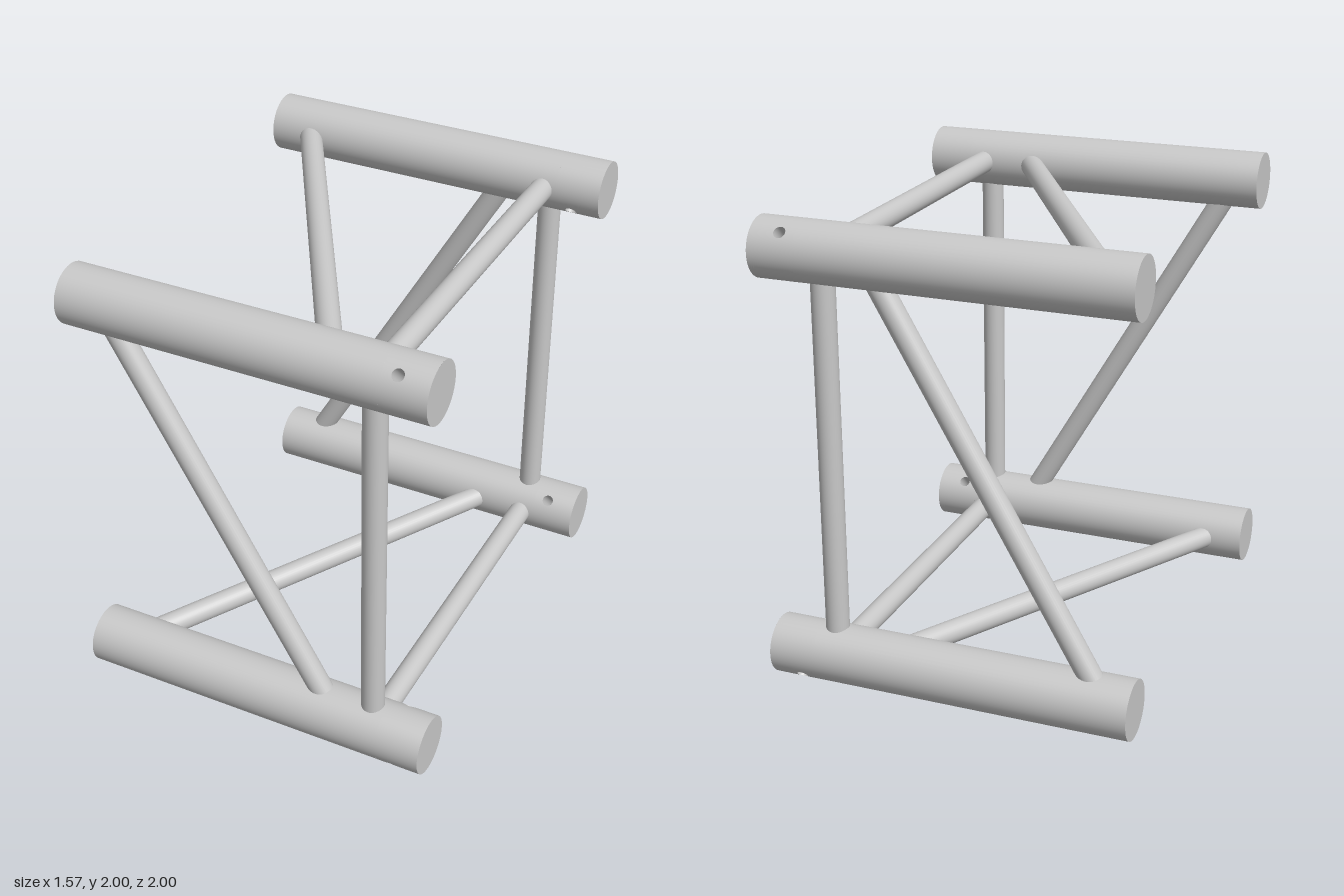
import * as THREE from 'three';
import { mergeGeometries } from 'three/addons/utils/BufferGeometryUtils.js';
import { ParametricGeometry } from 'three/addons/geometries/ParametricGeometry.js';

const R = 0.126;            // chord radius
const C = 1 - R;            // chord centre distance from the truss axis
const X0 = -0.785, X1 = 0.785;
const SEAM = 0.59;          // start of the drilled end section
const HOLE_X = 0.655, HOLE_R = 0.025;

// Solid tube along x with a pin hole drilled through it along local y
function chordGeometry() {
  const clamp = (n) => THREE.MathUtils.clamp(n * Math.SQRT2, -1, 1);

  // Half of the end section: blends from the round hole to the section's border
  const half = new ParametricGeometry((u, v, p) => {
    const t = u * 2 * Math.PI - Math.PI / 4;
    const c = Math.cos(t), s = Math.sin(t);
    const borderX = (SEAM + X1) / 2 + clamp(c) * (X1 - SEAM) / 2;
    const x = THREE.MathUtils.lerp(HOLE_X + HOLE_R * c, borderX, v);
    const a = THREE.MathUtils.lerp(Math.asin(HOLE_R * s / R), clamp(s) * Math.PI / 2, v);
    p.set(x, R * Math.cos(a), R * Math.sin(a));
  }, 96, 12);

  // Inner wall of the hole
  const bore = new ParametricGeometry((u, v, p) => {
    const t = u * 2 * Math.PI;
    const z = HOLE_R * Math.sin(t);
    p.set(HOLE_X + HOLE_R * Math.cos(t), (2 * v - 1) * Math.sqrt(R * R - z * z), z);
  }, 32, 1);

  const body = new THREE.CylinderGeometry(R, R, SEAM - X0, 48, 1, true)
    .rotateZ(Math.PI / 2).translate((X0 + SEAM) / 2, 0, 0);
  const cap = (x) => new THREE.CircleGeometry(R, 48)
    .rotateY(Math.sign(x) * Math.PI / 2).translate(x, 0, 0);

  return mergeGeometries([body, half, half.clone().rotateX(Math.PI), bore, cap(X0), cap(X1)]);
}

// Round bar between two points
function bar(name, from, to, material) {
  const dir = to.clone().sub(from);
  const mesh = new THREE.Mesh(new THREE.CylinderGeometry(0.05, 0.05, dir.length(), 32), material);
  mesh.name = name;
  mesh.position.copy(from).add(to).multiplyScalar(0.5);
  mesh.quaternion.setFromUnitVectors(new THREE.Vector3(0, 1, 0), dir.normalize());
  return mesh;
}

export function createModel() {
  const model = new THREE.Group();
  model.name = 'squareTruss';
  const metal = new THREE.MeshStandardMaterial({ color: 0xc8c8c8, side: THREE.DoubleSide });
  metal.name = 'light grey metal';

  // Four chords, each pin hole pointing diagonally outward
  const geometry = chordGeometry();
  for (const sy of [-1, 1]) {
    for (const sz of [-1, 1]) {
      const chord = new THREE.Mesh(geometry, metal);
      chord.name = (sy > 0 ? 'top' : 'bottom') + (sz > 0 ? 'Front' : 'Back') + 'Chord';
      chord.position.set(0, 1 + sy * C, sz * C);
      chord.rotation.x = Math.atan2(sz, sy);
      model.add(chord);
    }
  }

  // One straight strut and one diagonal brace on every side
  const MID = -0.157, SPAN = 0.504;
  for (const s of [-1, 1]) {
    const upright = (x, sy) => new THREE.Vector3(x, 1 + sy * C, s * C);
    const level = (x, sz) => new THREE.Vector3(x, 1 + s * C, sz * C);
    const face = s > 0 ? 'front' : 'back';
    const deck = s > 0 ? 'top' : 'bottom';
    model.add(
      bar(face + 'Strut', upright(0.525, -1), upright(0.525, 1), metal),
      bar(face + 'Diagonal', upright(MID + s * SPAN, -1), upright(MID - s * SPAN, 1), metal),
      bar(deck + 'Strut', level(0.525, -1), level(0.525, 1), metal),
      bar(deck + 'Diagonal', level(MID - s * SPAN, -1), level(MID + s * SPAN, 1), metal),
    );
  }
  return model;
}
